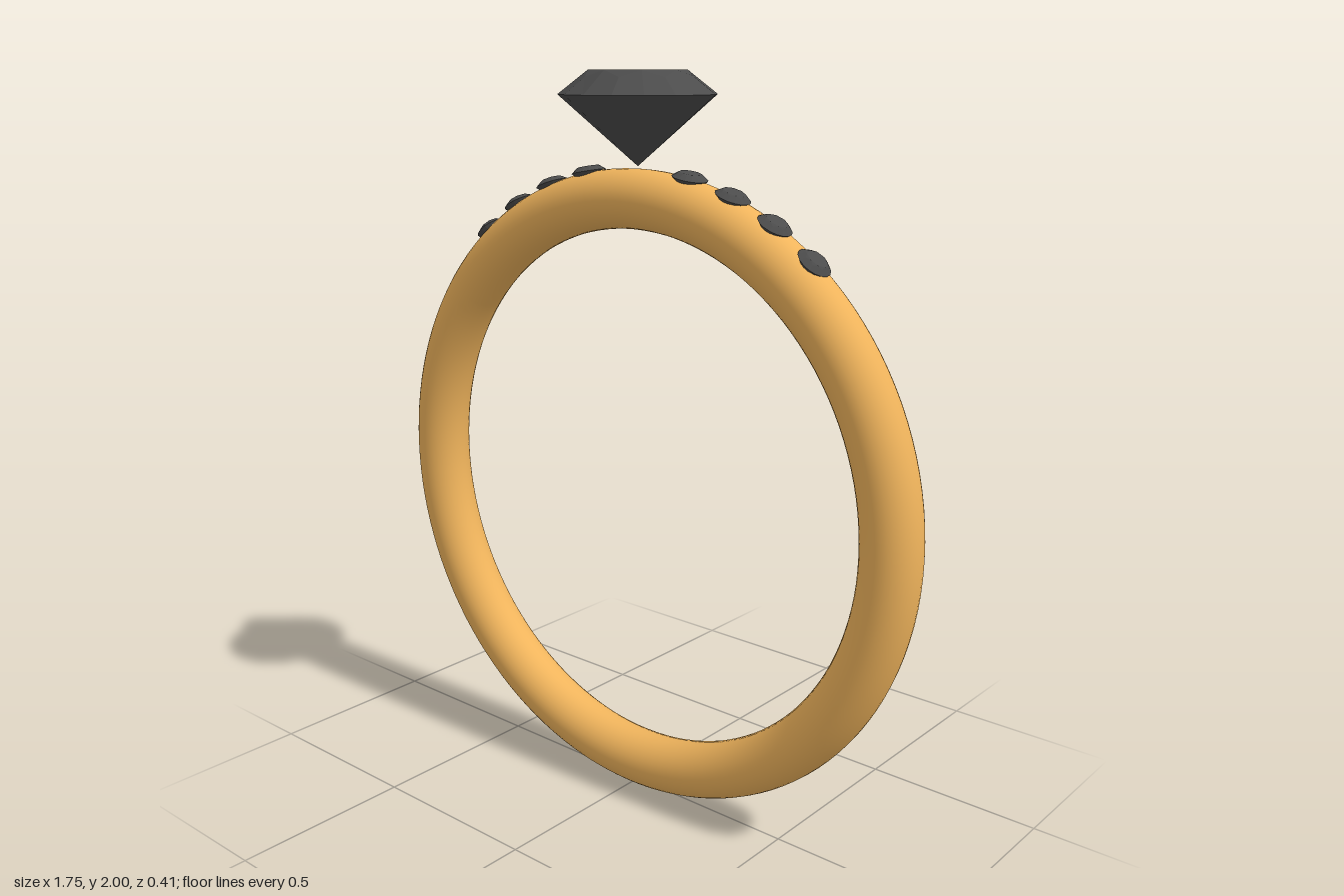
import * as THREE from 'three';

const gold = new THREE.MeshStandardMaterial({ color: 0xf0b45c });
const stone = new THREE.MeshStandardMaterial({ color: 0x4c4c4c, flatShading: true });

// Brilliant cut stone of girdle radius 0.205, with the girdle at y = 0
function gemGeometry() {
  const point = (r, y, step) => {
    const a = (step * Math.PI) / 16;
    return [r * Math.sin(a), y, r * Math.cos(a)];
  };
  const table = (i) => point(0.127, 0.06, 4 * i);
  const shoulder = (i) => point(0.148, 0.043, 4 * i + 2);
  const girdle = (i) => point(0.205, 0, 2 * i);
  const culet = [0, -0.18, 0], centre = [0, 0.06, 0];
  const positions = [];
  const face = (...corners) => corners.forEach((c) => positions.push(...c));

  for (let i = 0; i < 8; i++) {
    const a = table(i), b = table(i + 1);
    const s = shoulder(i), before = shoulder(i - 1);
    const g0 = girdle(2 * i), g1 = girdle(2 * i + 1), g2 = girdle(2 * i + 2);
    face(centre, a, b); // table
    face(a, s, b); // star facet
    face(a, before, g0); // two halves of a main crown facet
    face(a, g0, s);
    face(s, g0, g1); // upper girdle facets
    face(s, g1, g2);
    face(culet, g1, g0); // pavilion
    face(culet, g2, g1);
  }
  const geometry = new THREE.BufferGeometry();
  geometry.setAttribute('position', new THREE.Float32BufferAttribute(positions, 3));
  geometry.computeVertexNormals();
  return geometry;
}

export function createModel() {
  const group = new THREE.Group();
  const centreY = 0.877;

  // Round band
  const band = new THREE.Mesh(new THREE.TorusGeometry(0.799, 0.078, 32, 128), gold);
  band.name = 'band';
  band.position.y = centreY;
  group.add(band);

  // Large stone balanced on the band
  const gem = gemGeometry();
  const mainStone = new THREE.Mesh(gem, stone);
  mainStone.name = 'mainStone';
  mainStone.position.y = 1.94;
  group.add(mainStone);

  // Four small stones set into each shoulder of the band
  for (const side of [-1, 1]) {
    for (let i = 0; i < 4; i++) {
      const angle = side * THREE.MathUtils.degToRad(11.3 + 9.2 * i);
      const small = new THREE.Mesh(gem, stone);
      small.name = side > 0 ? 'leftSmallStone' : 'rightSmallStone';
      small.scale.setScalar(0.23);
      small.position.set(0.878 * Math.sin(angle), centreY + 0.878 * Math.cos(angle), 0);
      small.rotation.z = -angle;
      group.add(small);
    }
  }
  return group;
}
